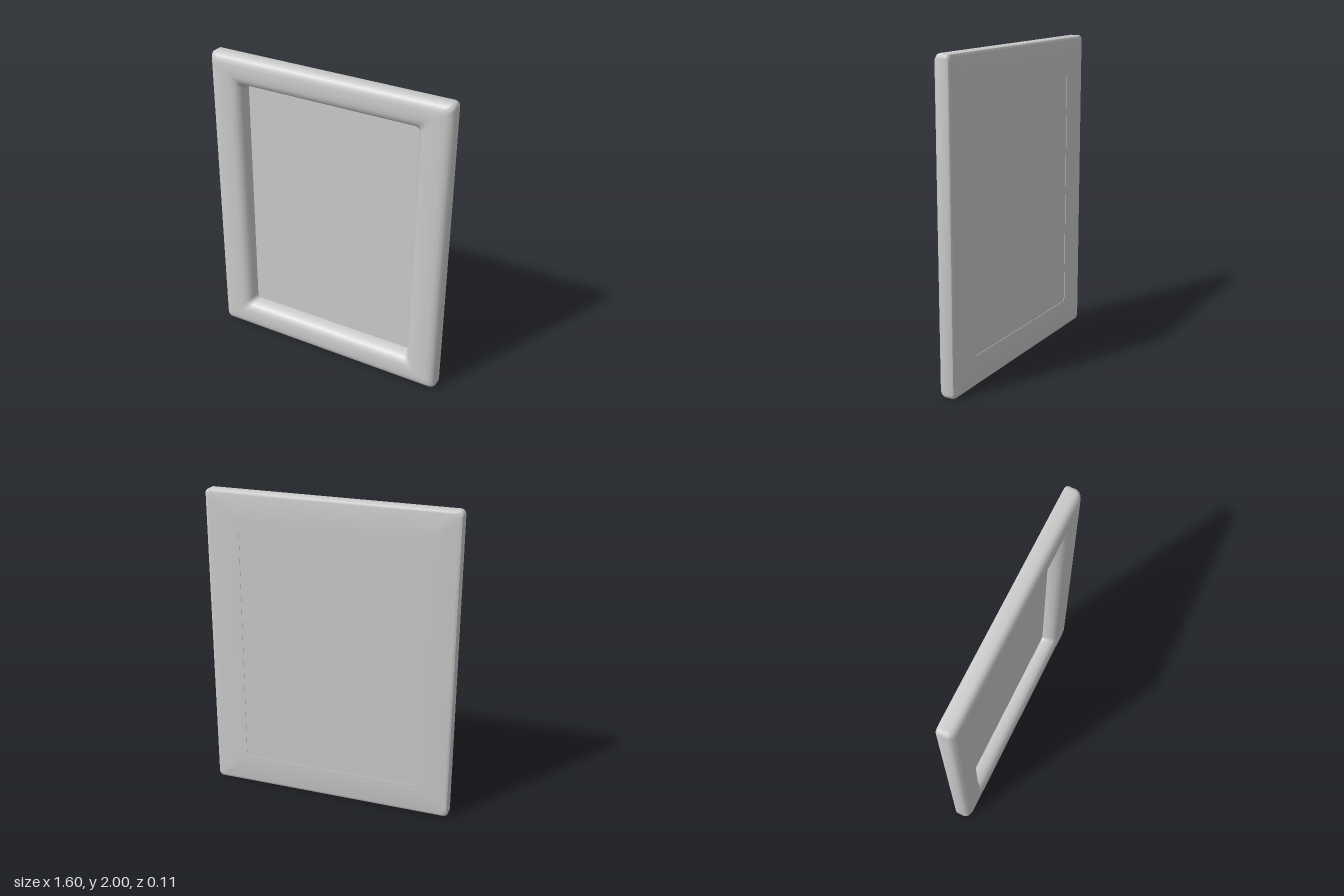
import * as THREE from 'three';
import { toCreasedNormals } from 'three/addons/utils/BufferGeometryUtils.js';

const HALF_W = 0.8, HALF_H = 1;          // outer half size
const BAR_W = 0.217, BAR_H = 0.193;      // width of the side and top bars
const RADIUS = 0.03, CORNER_STEPS = 5;

// Bar cross-section: [0 = outer edge .. 1 = opening, z]
const PROFILE = [
  [0.11, -0.057], [0.03, -0.053], [0, -0.042], [0, 0.012], [0.025, 0.028], [0.08, 0.042],
  [0.17, 0.052], [0.29, 0.056], [0.5, 0.057], [0.68, 0.055], [0.8, 0.048], [0.89, 0.034],
  [0.95, 0.014], [0.985, -0.01], [1, -0.03], [1, -0.057],
];

// Rounded rectangle, counterclockwise from the front
function ring(t) {
  const cx = HALF_W - BAR_W * t - RADIUS, cy = HALF_H - BAR_H * t - RADIUS;
  const points = [];
  [[1, 1], [-1, 1], [-1, -1], [1, -1]].forEach(([sx, sy], q) => {
    for (let i = 0; i <= CORNER_STEPS; i++) {
      const a = (q + i / CORNER_STEPS) * Math.PI / 2;
      points.push([sx * cx + RADIUS * Math.cos(a), sy * cy + RADIUS * Math.sin(a)]);
    }
  });
  return points;
}

// Sweep the cross-section around the frame
function frameGeometry() {
  const positions = [], index = [];
  const n = 4 * (CORNER_STEPS + 1), m = PROFILE.length;
  for (const [t, z] of PROFILE) {
    for (const [x, y] of ring(t)) positions.push(x, y, z);
  }
  for (let j = 0; j < m; j++) {
    for (let k = 0; k < n; k++) {
      const k1 = (k + 1) % n, j1 = (j + 1) % m;
      const a = j * n + k, b = j * n + k1, c = j1 * n + k1, d = j1 * n + k;
      index.push(a, b, c, a, c, d);
    }
  }
  const geometry = new THREE.BufferGeometry();
  geometry.setAttribute('position', new THREE.Float32BufferAttribute(positions, 3));
  geometry.setIndex(index);
  return toCreasedNormals(geometry, 0.8);
}

export function createModel() {
  const group = new THREE.Group();
  group.name = 'pictureFrame';
  const material = new THREE.MeshStandardMaterial({ color: 0xcccccc });

  // Moulded border
  const frame = new THREE.Mesh(frameGeometry(), material);
  frame.name = 'frame';
  frame.position.y = HALF_H;

  // Thin panel set into the back of the opening
  const panel = new THREE.Mesh(
    new THREE.BoxGeometry(2 * (HALF_W - BAR_W), 2 * (HALF_H - BAR_H), 0.01), material);
  panel.name = 'backPanel';
  panel.position.set(0, HALF_H, -0.049);

  group.add(frame, panel);
  return group;
}
